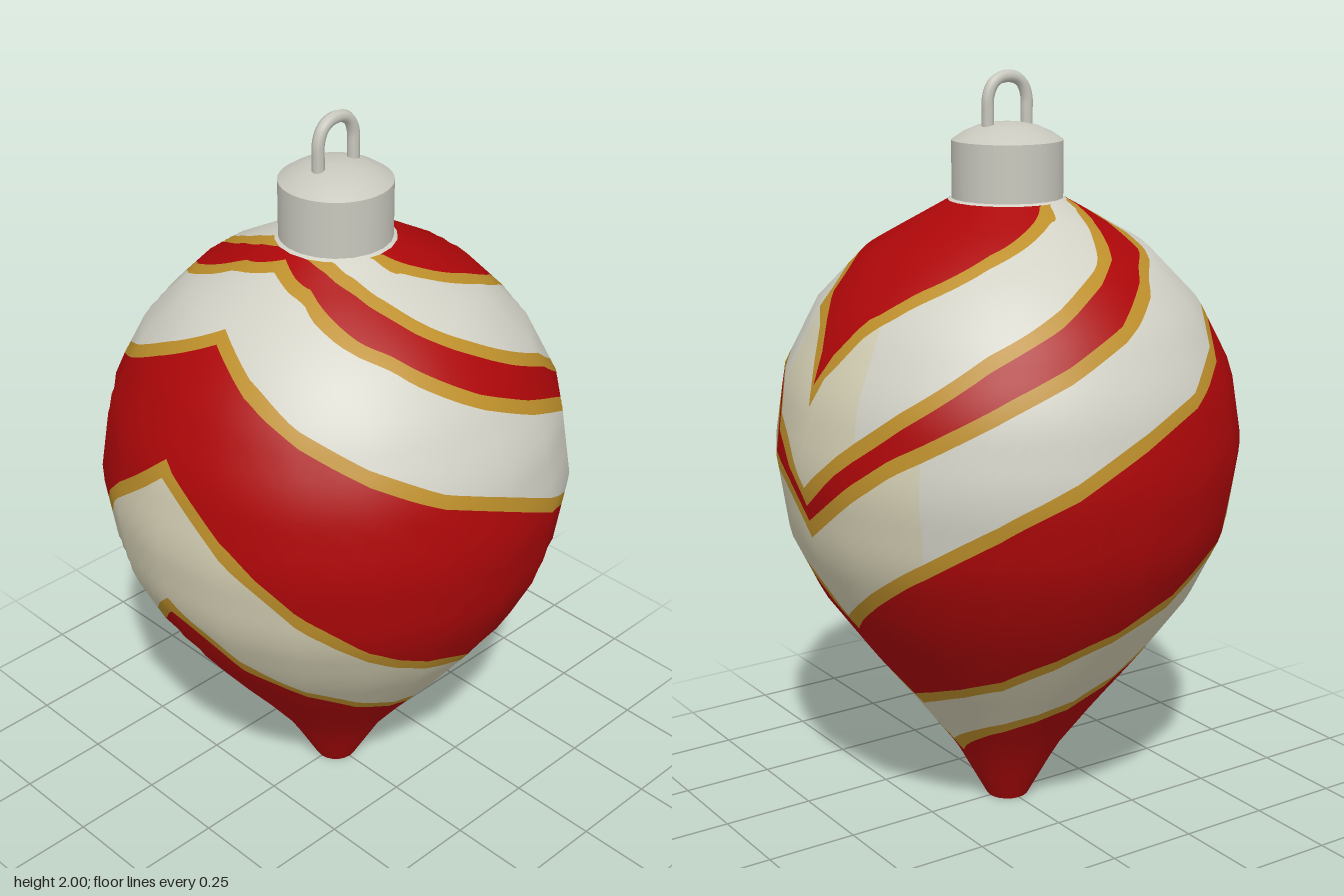
import * as THREE from 'three';

const mat = (name, color) => {
  const m = new THREE.MeshStandardMaterial({ color });
  m.name = name;
  return m;
};

// piecewise linear lookup in [key, value] pairs
function lookup(pts, k) {
  if (k <= pts[0][0]) return pts[0][1];
  for (let i = 1; i < pts.length; i++) {
    const [k0, v0] = pts[i - 1], [k1, v1] = pts[i];
    if (k <= k1) return v0 + (v1 - v0) * (k - k0) / (k1 - k0);
  }
  return pts[pts.length - 1][1];
}

// body profile: [height, radius]
const PROFILE = [[0, 0.058], [0.16, 0.145], [0.3, 0.25], [0.45, 0.37], [0.635, 0.505], [0.815, 0.592],
  [1.03, 0.624], [1.235, 0.592], [1.415, 0.5], [1.555, 0.365], [1.675, 0.15], [1.69, 0.12]];
const PAINT_TOP = 1.672, TOP = 1.685;
const SIDES = 20;

// centre lines of the gold stripes: [degrees from +x, height], same on front and back
const STRIPES = [
  [[0, 0.18], [40, 0.27], [90, 0.36], [120, 0.45], [135, 0.515], [150, 0.585], [165, 0.69], [180, 0.83]],
  [[0, 0.345], [54, 0.47], [90, 0.61], [118, 0.72], [141, 0.89], [161, 1.08], [172, 1.17], [180, 1.24]],
  [[0, 0.605], [15, 0.7], [32, 0.815], [58, 0.975], [90, 1.15], [110, 1.23], [136, 1.345], [158, 1.445], [180, 1.53]],
  [[0, 0.88], [28, 1.095], [56, 1.25], [90, 1.4], [115, 1.515], [150, 1.618], [180, 1.652]],
  [[0, 0.967], [12, 1.075], [30, 1.21], [52, 1.355], [82, 1.49], [107, 1.592], [122, 1.635], [140, 1.665], [180, 1.7]],
  [[0, 1.225], [3, 1.3], [11, 1.395], [25, 1.475], [49, 1.565], [71, 1.62], [90, 1.66], [100, 1.7], [180, 1.8]],
];

const radius = (y) => lookup(PROFILE, y);
const slope = (y) => (radius(y + 0.07) - radius(y - 0.07)) / (Math.min(y + 0.07, 1.69) - Math.max(y - 0.07, 0));

// heights of all band edges at one angle, bottom to top
function edgesAt(deg) {
  const a = deg > 180 ? 360 - deg : Math.abs(deg), out = [0];
  for (const s of STRIPES) {
    const y = lookup(s, a), r = radius(y);
    const lo = Math.max(0, a - 4), hi = Math.min(180, a + 4);
    const dy = (lookup(s, hi) - lookup(s, lo)) / THREE.MathUtils.degToRad(hi - lo);
    const half = Math.min(0.028, 0.0185 * Math.hypot(1 / Math.hypot(1, slope(y)), dy / r));
    for (const e of [y - half, y + half]) out.push(Math.min(PAINT_TOP, Math.max(out[out.length - 1], e)));
  }
  out.push(PAINT_TOP, TOP);
  return out;
}

// one painted band of the body surface, between edges k and k + 1 and two angles
function bandGeometry(k, from = -180, to = 180) {
  const cols = (to - from) / 3, rows = 8, pos = [], nor = [], idx = [];
  const facet = Math.PI * 2 / SIDES;
  for (let i = 0; i <= cols; i++) {
    const deg = from + 3 * i, t = THREE.MathUtils.degToRad(deg);
    const e = edgesAt(deg);
    const local = (t + Math.PI * 4) % facet - facet / 2;
    const flat = Math.cos(facet / 2) / Math.cos(local);
    for (let j = 0; j <= rows; j++) {
      const y = e[k] + (e[k + 1] - e[k]) * j / rows;
      const r = radius(y) * flat, m = slope(y), l = Math.hypot(1, m);
      pos.push(r * Math.cos(t), y, r * Math.sin(t));
      nor.push(Math.cos(t) / l, -m / l, Math.sin(t) / l);
      // skip columns where the band has run out under the cap
      if (i < cols && j < rows) {
        const next = edgesAt(deg + 3);
        if (e[k + 1] - e[k] + next[k + 1] - next[k] < 1e-5) continue;
        const a = i * (rows + 1) + j, b = a + rows + 1;
        idx.push(a, a + 1, b, a + 1, b + 1, b);
      }
    }
  }
  const g = new THREE.BufferGeometry();
  g.setAttribute('position', new THREE.Float32BufferAttribute(pos, 3));
  g.setAttribute('normal', new THREE.Float32BufferAttribute(nor, 3));
  g.setIndex(idx);
  return g;
}

export function createModel() {
  const red = mat('red', 0xad0709), gold = mat('gold', 0xbd8f2b);
  const cream = mat('cream', 0xd2d1c6), warm = mat('warmCream', 0xd2cdb2);
  const metal = mat('capMetal', 0xc9c8be);
  const group = new THREE.Group();
  const add = (name, geo, material, parent = group) => {
    const m = new THREE.Mesh(geo, material);
    m.name = name;
    parent.add(m);
    return m;
  };

  // striped body: red and cream alternate with gold between
  const body = new THREE.Group();
  body.name = 'body';
  group.add(body);
  for (let k = 0; k < 13; k += 4) add('redBand' + k, bandGeometry(k), red, body);
  for (let k = 1; k < 13; k += 2) add('goldStripe' + k, bandGeometry(k), gold, body);

  // cream bands are warmer low down and around the point of each chevron
  add('lowerCreamBand', bandGeometry(2), warm, body);
  for (const [k, a] of [[6, 36], [10, 18]]) {
    add('creamBand' + k, bandGeometry(k, a, 360 - a), cream, body);
    add('creamChevron' + k, bandGeometry(k, -a, a), warm, body);
  }
  add('neckRing', bandGeometry(13), cream, body);
  add('bottomTip', new THREE.CircleGeometry(0.058, SIDES).rotateX(Math.PI / 2), red, body);

  // cap: straight collar and shallow dome
  const collar = new THREE.CylinderGeometry(0.145, 0.145, 0.15, 40);
  add('capCollar', collar, metal).position.y = 1.75;
  const dome = [[0.145, 1.825], [0.115, 1.845], [0.08, 1.86], [0.04, 1.868], [0, 1.87]];
  add('capDome', new THREE.LatheGeometry(dome.map(([x, y]) => new THREE.Vector2(x, y)), 40), metal);

  // hanging loop
  const loop = [[-0.06, 1.84], [-0.06, 1.89], [-0.059, 1.935], [-0.045, 1.967], [-0.02, 1.983]];
  const path = [...loop, ...loop.map(([x, y]) => [-x, y]).reverse()];
  const curve = new THREE.CatmullRomCurve3(path.map(([x, y]) => new THREE.Vector3(x, y, 0)));
  add('hangingLoop', new THREE.TubeGeometry(curve, 40, 0.016, 8), metal);
  return group;
}
